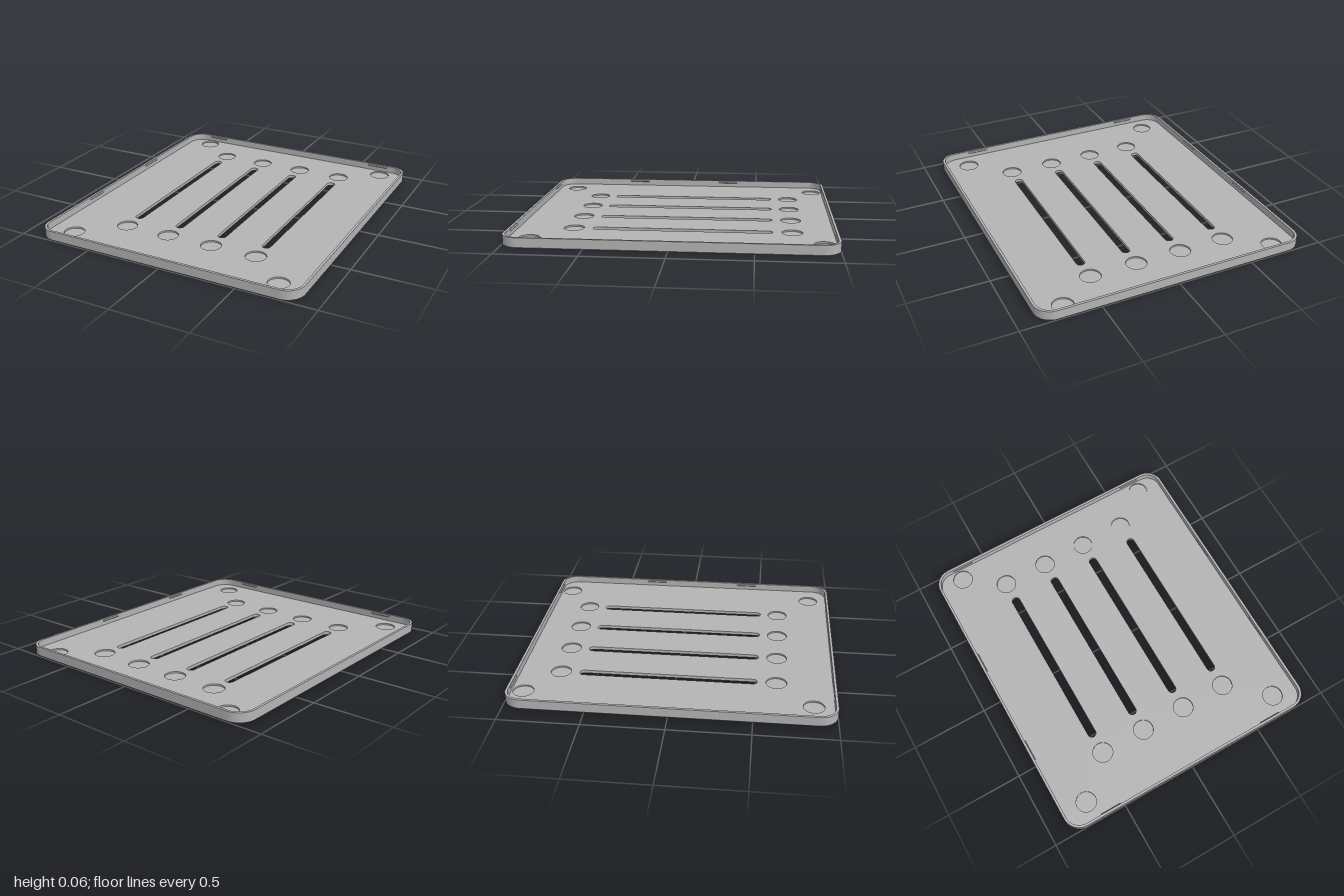
import * as THREE from 'three';
import { toCreasedNormals } from 'three/addons/utils/BufferGeometryUtils.js';

const W = 0.88, L = 1, R = 0.11, WALL = 0.016;
const FLOOR = 0.02, POCKET = 0.01, CHAMFER = 0.006, HEIGHT = 0.065;
const COLUMNS = [-0.458, -0.154, 0.15, 0.454];

// Rounded rectangle; shape y becomes z
function roundedRect(w, l, r, Type = THREE.Shape) {
  const s = new Type();
  s.absarc(w - r, l - r, r, 0, Math.PI / 2);
  s.absarc(-w + r, l - r, r, Math.PI / 2, Math.PI);
  s.absarc(-w + r, -l + r, r, Math.PI, Math.PI * 1.5);
  s.absarc(w - r, -l + r, r, Math.PI * 1.5, Math.PI * 2);
  s.closePath();
  return s;
}

// Long slot with round ends
function slot(x) {
  const r = 0.027, p = new THREE.Path();
  p.absarc(x, 0.516 - r, r, 0, Math.PI);
  p.absarc(x, -0.61 + r, r, Math.PI, Math.PI * 2);
  p.closePath();
  return p;
}

function circle(x, z) {
  return new THREE.Path().absarc(x, z, 0.065, 0, Math.PI * 2);
}

// Horizontal layer between two heights
function layer(shape, holes, y0, y1) {
  shape.holes.push(...holes);
  const g = new THREE.ExtrudeGeometry(shape, { depth: y1 - y0, bevelEnabled: false, curveSegments: 16 });
  g.rotateX(Math.PI / 2).translate(0, y1, 0);
  return g;
}

export function createModel() {
  const model = new THREE.Group();
  model.name = 'slottedTray';
  const grey = new THREE.MeshStandardMaterial({ color: 0xb4b4b4 });
  grey.name = 'grey';
  const add = (name, geometry) => {
    const mesh = new THREE.Mesh(toCreasedNormals(geometry, 0.5), grey);
    mesh.name = name;
    model.add(mesh);
    return mesh;
  };
  const slots = () => COLUMNS.map(slot);

  // Bottom skin, its lower outer edge drawn in to form a chamfer
  const skin = layer(roundedRect(W, L, R), slots(), 0, CHAMFER);
  const p = skin.attributes.position;
  for (let i = 0; i < p.count; i++) {
    const x = p.getX(i), z = p.getZ(i);
    if (p.getY(i) < 0.001 && (Math.abs(x) > 0.7 || Math.abs(z) > 0.8)) {
      p.setX(i, x * (W - CHAMFER) / W);
      p.setZ(i, z * (L - CHAMFER) / L);
    }
  }
  skin.computeVertexNormals();
  add('bottomSkin', skin);
  add('floorBase', layer(roundedRect(W, L, R), slots(), CHAMFER, POCKET));

  // Upper floor with round pockets
  const pockets = [];
  for (const x of COLUMNS) pockets.push(circle(x, -0.73), circle(x, 0.635));
  for (const x of [-0.705, 0.705]) pockets.push(circle(x, -0.91), circle(x, 0.86));
  add('pocketedFloor', layer(roundedRect(W, L, R), [...slots(), ...pockets], POCKET, FLOOR));

  // Rim wall
  const inner = roundedRect(W - WALL, L - WALL, R - WALL, THREE.Path);
  add('rimWall', layer(roundedRect(W, L, R), [inner], FLOOR, HEIGHT));

  // Small snap ridges along the inside of the rim
  const ridge = (x, z, alongX) => {
    const g = new THREE.CylinderGeometry(0.006, 0.006, 0.14, 4);
    if (alongX) g.rotateZ(Math.PI / 2);
    else g.rotateX(Math.PI / 2);
    add('snapRidge', g).position.set(x, 0.052, z);
  };
  for (const s of [-1, 1]) {
    ridge(s * 0.665, -(L - WALL), true);
    ridge(s * 0.595, L - WALL, true);
    ridge(s * (W - WALL), -0.285, false);
    ridge(s * (W - WALL), 0.397, false);
  }
  return model;
}
